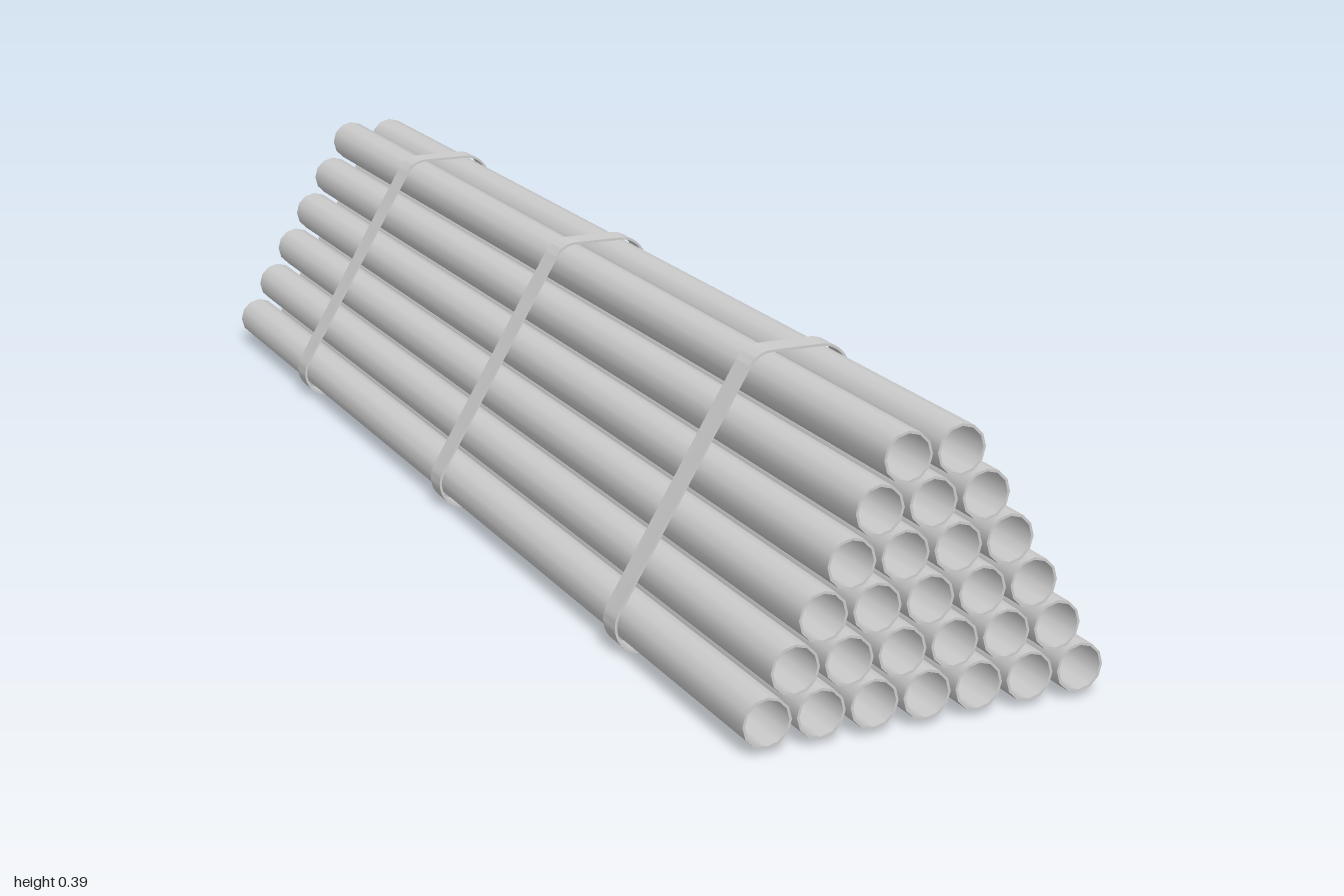
import * as THREE from 'three';
import { toCreasedNormals } from 'three/addons/utils/BufferGeometryUtils.js';

const ROWS = 6, PITCH_X = 0.0725, PITCH_Y = 0.0615, BASE_Y = 0.04;
const OUTER = 0.033, INNER = 0.0295, LENGTH = 2;
const STRAP_OUTER = 0.04, STRAP_INNER = 0.0365, STRAP_WIDTH = 0.037;

// Hollow tube lying along z
function pipeGeometry() {
  const h = LENGTH / 2;
  const profile = [[OUTER, -h], [OUTER, h], [INNER, h], [INNER, -h], [OUTER, -h]]
    .map(([r, y]) => new THREE.Vector2(r, y));
  const geometry = new THREE.LatheGeometry(profile, 12);
  geometry.rotateX(Math.PI / 2);
  return toCreasedNormals(geometry, 0.6);
}

// Outline pulled tight around the four corner pipes at a given radius
function traceOutline(path, radius) {
  const bottomX = 3 * PITCH_X, topX = PITCH_X / 2;
  const topY = BASE_Y + (ROWS - 1) * PITCH_Y;
  const slope = Math.atan2(bottomX - topX, topY - BASE_Y);
  const quarter = Math.PI / 2;
  path.absarc(bottomX, BASE_Y, radius, -quarter, slope, false);
  path.absarc(topX, topY, radius, slope, quarter, false);
  path.absarc(-topX, topY, radius, quarter, Math.PI - slope, false);
  path.absarc(-bottomX, BASE_Y, radius, Math.PI - slope, 3 * quarter, false);
  path.closePath();
  return path;
}

// Flat band with rounded corners
function strapGeometry() {
  const shape = traceOutline(new THREE.Shape(), STRAP_OUTER);
  shape.holes.push(traceOutline(new THREE.Path(), STRAP_INNER));
  const geometry = new THREE.ExtrudeGeometry(shape, {
    depth: STRAP_WIDTH, bevelEnabled: false, curveSegments: 6,
  });
  geometry.translate(0, 0, -STRAP_WIDTH / 2);
  return toCreasedNormals(geometry, 0.6);
}

export function createModel() {
  const model = new THREE.Group();
  model.name = 'pipeBundle';
  const material = new THREE.MeshStandardMaterial({ color: 0xcccccc });

  // Stacked pipes: seven at the bottom, two at the top
  const pipes = new THREE.Group();
  pipes.name = 'pipes';
  const pipe = pipeGeometry();
  for (let row = 0; row < ROWS; row++) {
    const count = 7 - row;
    for (let i = 0; i < count; i++) {
      const mesh = new THREE.Mesh(pipe, material);
      mesh.name = `pipeRow${row + 1}Number${i + 1}`;
      mesh.position.set((i - (count - 1) / 2) * PITCH_X, BASE_Y + row * PITCH_Y, 0);
      pipes.add(mesh);
    }
  }
  model.add(pipes);

  // Three straps binding the stack
  const strap = strapGeometry();
  [['backStrap', -0.637], ['middleStrap', -0.004], ['frontStrap', 0.629]].forEach(([name, z]) => {
    const mesh = new THREE.Mesh(strap, material);
    mesh.name = name;
    mesh.position.z = z;
    model.add(mesh);
  });

  return model;
}
